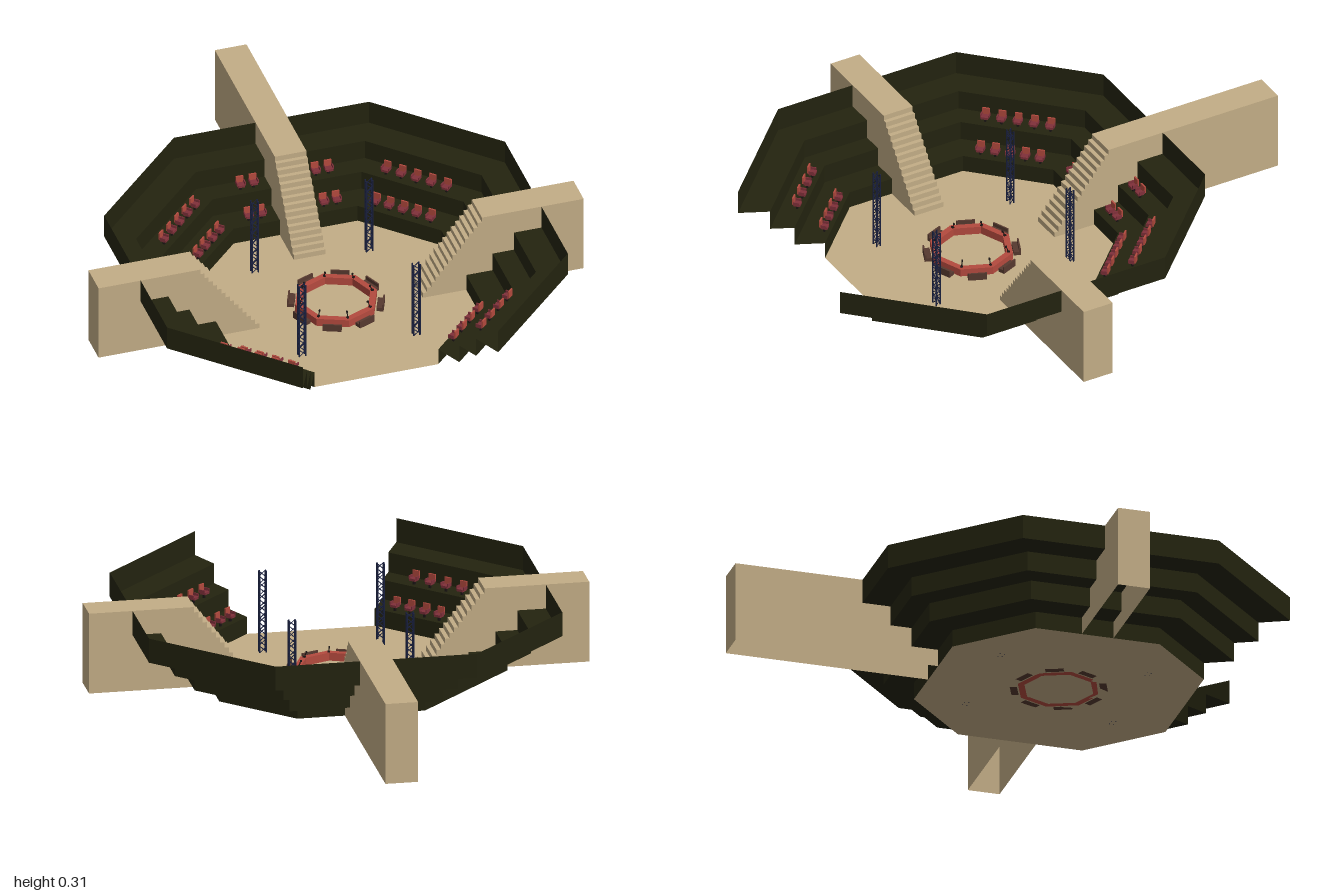
import * as THREE from 'three';
import { mergeGeometries } from 'three/addons/utils/BufferGeometryUtils.js';

const ZC = 0.24; // arena centre along z

function material(name, color, side = THREE.FrontSide) {
  const m = new THREE.MeshStandardMaterial({ color, side });
  m.name = name;
  return m;
}

// Faceted surface through rows of points (each row has the same count)
function loft(rows) {
  const pos = [];
  for (let i = 0; i < rows.length - 1; i++) {
    for (let j = 0; j < rows[i].length - 1; j++) {
      const a = rows[i][j], b = rows[i][j + 1], c = rows[i + 1][j + 1], d = rows[i + 1][j];
      pos.push(...a, ...b, ...c, ...a, ...c, ...d);
    }
  }
  const g = new THREE.BufferGeometry();
  g.setAttribute('position', new THREE.Float32BufferAttribute(pos, 3));
  g.computeVertexNormals();
  return g;
}

// Corners of the octagon with half width h, open at the front
function corners(h) {
  const a = 0.235 + (h - 0.475) * 0.474;
  return [[-a, h], [-h, a], [-h, -a], [-a, -h], [a, -h], [h, -a], [h, a], [a, h]];
}

function box(w, h, d, x, y, z) {
  return new THREE.BoxGeometry(w, h, d).translate(x, y, z);
}

// Thin square bar between two points
function bar(p, q, r) {
  const a = new THREE.Vector3(...p), b = new THREE.Vector3(...q);
  const dir = b.clone().sub(a);
  const g = new THREE.CylinderGeometry(r, r, dir.length(), 4);
  g.applyQuaternion(new THREE.Quaternion().setFromUnitVectors(new THREE.Vector3(0, 1, 0), dir.normalize()));
  return g.translate(...a.add(b).multiplyScalar(0.5).toArray());
}

export function createModel() {
  const root = new THREE.Group();
  root.name = 'arena';
  const sand = material('sand', 0xc3ad86, THREE.DoubleSide);
  const olive = material('dark olive', 0x23230f, THREE.DoubleSide);
  const red = material('red', 0xb44a3e);
  const maroon = material('maroon', 0x80303a);
  const brown = material('brown', 0x56392f);
  const navy = material('navy', 0x1c2344);
  const black = material('black', 0x1c1615);

  function add(parent, name, geometry, mat) {
    const m = new THREE.Mesh(geometry, mat);
    m.name = name;
    parent.add(m);
    return m;
  }

  // Octagonal floor
  const floorShape = new THREE.Shape(corners(0.475).map(([x, z]) => new THREE.Vector2(x, -z)));
  add(root, 'floor', new THREE.ShapeGeometry(floorShape).rotateX(-Math.PI / 2), sand).position.z = ZC;

  // Stepped stands
  const profile = [[0.475, 0], [0.475, 0.065], [0.575, 0.065], [0.575, 0.138],
    [0.655, 0.138], [0.655, 0.213], [0.76, 0.213], [0.76, 0.305]];
  const rows = profile.map(([h, y]) => corners(h).map(([x, z]) => [x, y, z]));
  add(root, 'stands', loft(rows), olive).position.z = ZC;

  // Walkways with stairs, running outward along local x
  function walkway(name, start, landing, end, z, turn) {
    const steps = 15, top = 0.305, half = 0.06;
    const line = [[start, 0]];
    for (let i = 0; i < steps; i++) {
      const y = top * (i + 1) / steps;
      line.push([start + (landing - start) * i / steps, y]);
      line.push([start + (landing - start) * (i + 1) / steps, y]);
    }
    line.push([end, top], [end, 0]);
    const g = new THREE.Group();
    g.name = name;
    add(g, 'treads', loft([half, -half].map(w => line.map(([x, y]) => [x, y, w]))), sand);
    const side = new THREE.Shape(line.map(([x, y]) => new THREE.Vector2(x, y)));
    for (const w of [half, -half]) {
      add(g, 'sideWall', new THREE.ShapeGeometry(side), sand).position.z = w;
    }
    g.position.z = z;
    g.rotation.y = turn;
    root.add(g);
  }
  walkway('backWalkway', 0.07, 0.31, 1, 0, Math.PI / 2);
  walkway('leftWalkway', 0.31, 0.55, 0.92, ZC, 0);
  walkway('rightWalkway', 0.31, 0.55, 0.92, ZC, Math.PI);

  // Seats: each faces local +z
  const cushion = mergeGeometries([
    box(0.026, 0.009, 0.024, 0, 0.02, 0.002),
    box(0.004, 0.012, 0.022, -0.015, 0.028, 0.001),
    box(0.004, 0.012, 0.022, 0.015, 0.028, 0.001),
  ]);
  const backrest = box(0.028, 0.028, 0.006, 0, 0.036, -0.013);
  const leg = box(0.008, 0.016, 0.008, 0, 0.008, 0);
  // A row at a distance from the centre, on the side given by the angle (0 = back)
  function seatRow(angle, dist, y, offsets) {
    const row = new THREE.Group();
    row.name = 'seatRow';
    for (const t of offsets) {
      const seat = new THREE.Group();
      seat.name = 'seat';
      add(seat, 'cushion', cushion, maroon);
      add(seat, 'backrest', backrest, red);
      add(seat, 'leg', leg, black);
      seat.position.set(t, y, -dist);
      row.add(seat);
    }
    row.position.z = ZC;
    row.rotation.y = angle;
    root.add(row);
  }
  const spread = (n, gap, shift = 0) => Array.from({ length: n }, (_, i) => (i - (n - 1) / 2) * gap + shift);
  const tiers = [[0.51, 0.53, 0.065, 0.056], [0.605, 0.635, 0.138, 0.061]];
  tiers.forEach(([backDist, diagDist, y, gap], k) => {
    seatRow(0, backDist, y, [-0.167, -0.118, 0.118, 0.167]);
    for (const s of [-1, 1]) {
      seatRow(s * Math.PI / 4, diagDist, y, spread(5, gap));
      seatRow(s * Math.PI * 0.75, diagDist - 0.005, y, spread(4, gap + 0.008, s * 0.02 * k));
    }
  });

  // Octagonal ring table
  const ring = r => Array.from({ length: 8 }, (_, i) =>
    new THREE.Vector2(r * Math.cos(i * Math.PI / 4), r * Math.sin(i * Math.PI / 4)));
  const tableShape = new THREE.Shape(ring(0.155));
  tableShape.holes.push(new THREE.Path(ring(0.13).reverse()));
  const tableGeo = new THREE.ExtrudeGeometry(tableShape, { depth: 0.03, bevelEnabled: false });
  add(root, 'ringTable', tableGeo.rotateX(-Math.PI / 2), red).position.z = ZC;

  // Benches beside each table side, microphones at each corner
  const bench = mergeGeometries([box(0.068, 0.014, 0.022, 0, 0.007, 0.16), box(0.068, 0.028, 0.006, 0, 0.014, 0.172)]);
  const microphone = mergeGeometries([
    box(0.008, 0.004, 0.01, 0, 0.032, 0.138),
    bar([0, 0.03, 0.138], [0, 0.05, 0.13], 0.002),
    box(0.005, 0.007, 0.006, 0, 0.051, 0.129),
  ]);
  for (let i = 0; i < 8; i++) {
    const b = add(root, 'bench', bench, brown);
    b.position.z = ZC;
    b.rotation.y = (i + 0.5) * Math.PI / 4;
    const m = add(root, 'microphone', microphone, black);
    m.position.z = ZC;
    m.rotation.y = i * Math.PI / 4;
  }

  // Lattice towers
  const feet = [[-0.012, -0.008], [0.012, -0.008], [0.012, 0.008], [-0.012, 0.008]];
  const parts = [];
  const height = 0.31, bays = 14;
  feet.forEach(([x, z], i) => {
    const [nx, nz] = feet[(i + 1) % 4];
    parts.push(bar([x, 0, z], [x, height, z], 0.003));
    for (let k = 0; k < bays; k++) {
      const y0 = height * k / bays, y1 = height * (k + 1) / bays;
      parts.push(k % 2 ? bar([x, y0, z], [nx, y1, nz], 0.0018) : bar([nx, y0, nz], [x, y1, z], 0.0018));
    }
  });
  const tower = mergeGeometries(parts);
  for (const x of [-0.217, 0.217]) {
    for (const z of [-0.045, 0.51]) {
      add(root, 'latticeTower', tower, navy).position.set(x, 0, z);
    }
  }
  return root;
}
